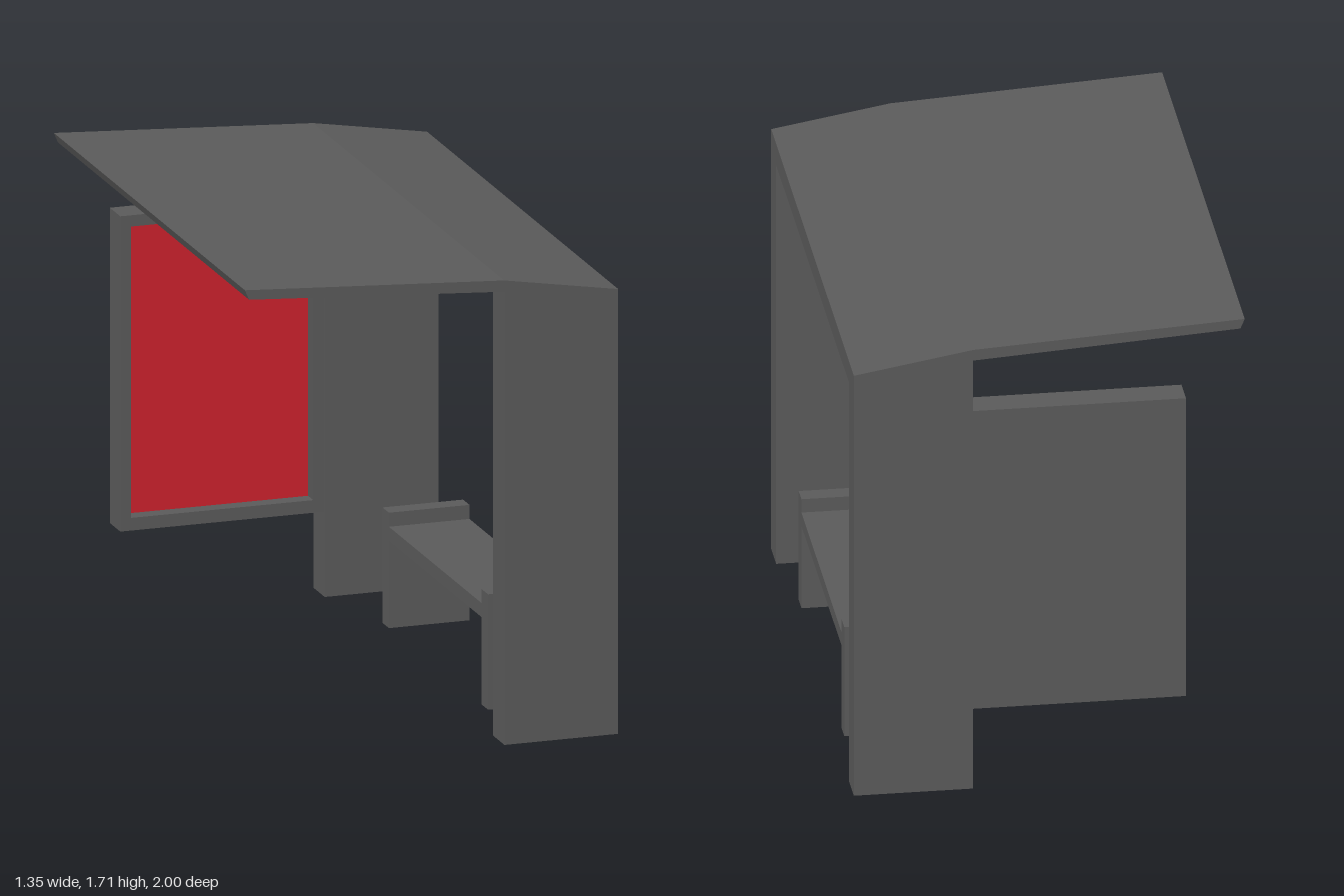
import * as THREE from 'three';

const concrete = new THREE.MeshStandardMaterial({ color: 0x5a5a5a });
concrete.name = 'dark grey';
const poster = new THREE.MeshStandardMaterial({ color: 0xcb212c });
poster.name = 'red';

// Extrude an x/y outline along z from z0 to z1
function slab(name, points, z0, z1, material = concrete, hole) {
  const toVec = ([x, y]) => new THREE.Vector2(x, y);
  const shape = new THREE.Shape(points.map(toVec));
  if (hole) shape.holes.push(new THREE.Path(hole.map(toVec)));
  const geometry = new THREE.ExtrudeGeometry(shape, { depth: z1 - z0, bevelEnabled: false });
  geometry.translate(0, 0, z0);
  const mesh = new THREE.Mesh(geometry, material);
  mesh.name = name;
  return mesh;
}

const rect = (x0, y0, x1, y1) => [[x0, y0], [x1, y0], [x1, y1], [x0, y1]];

export function createModel() {
  const shelter = new THREE.Group();
  shelter.name = 'shelter';

  // Bent roof: long thin canopy, thickening to a lintel over the pillars
  shelter.add(slab('roof', [
    [-0.66, 1.67], [0.26, 1.61], [0.67, 1.5],
    [0.67, 1.58], [0.26, 1.65], [-0.675, 1.705],
  ], -1, 1));

  // Pillars, their tops following the underside of the roof
  const pillar = [[0.26, 0], [0.67, 0], [0.67, 1.5], [0.26, 1.61]];
  shelter.add(slab('frontPillar', pillar, 0.88, 1));
  shelter.add(slab('backPillar', pillar, -1, -0.88));

  // Display panel on the back pillar: backing, raised frame and red sheet
  const panel = new THREE.Group();
  panel.name = 'displayPanel';
  const outer = rect(-0.473, 0.3, 0.26, 1.42);
  const inner = rect(-0.435, 0.345, 0.222, 1.38);
  panel.add(slab('panelBacking', outer, -1, -0.95));
  panel.add(slab('panelFrame', outer, -0.95, -0.89, concrete, inner));
  panel.add(slab('redSheet', inner, -0.95, -0.945, poster));
  shelter.add(panel);

  // Bench: seat board between two upright ends
  const bench = new THREE.Group();
  bench.name = 'bench';
  const [x0, x1] = [0.345, 0.635];
  bench.add(slab('seat', rect(x0, 0.31, x1, 0.36), -0.455, 0.515));
  bench.add(slab('frontBenchEnd', rect(x0, 0, x1, 0.41), 0.515, 0.582));
  bench.add(slab('backBenchEnd', rect(x0, 0, x1, 0.41), -0.522, -0.455));
  shelter.add(bench);

  return shelter;
}
